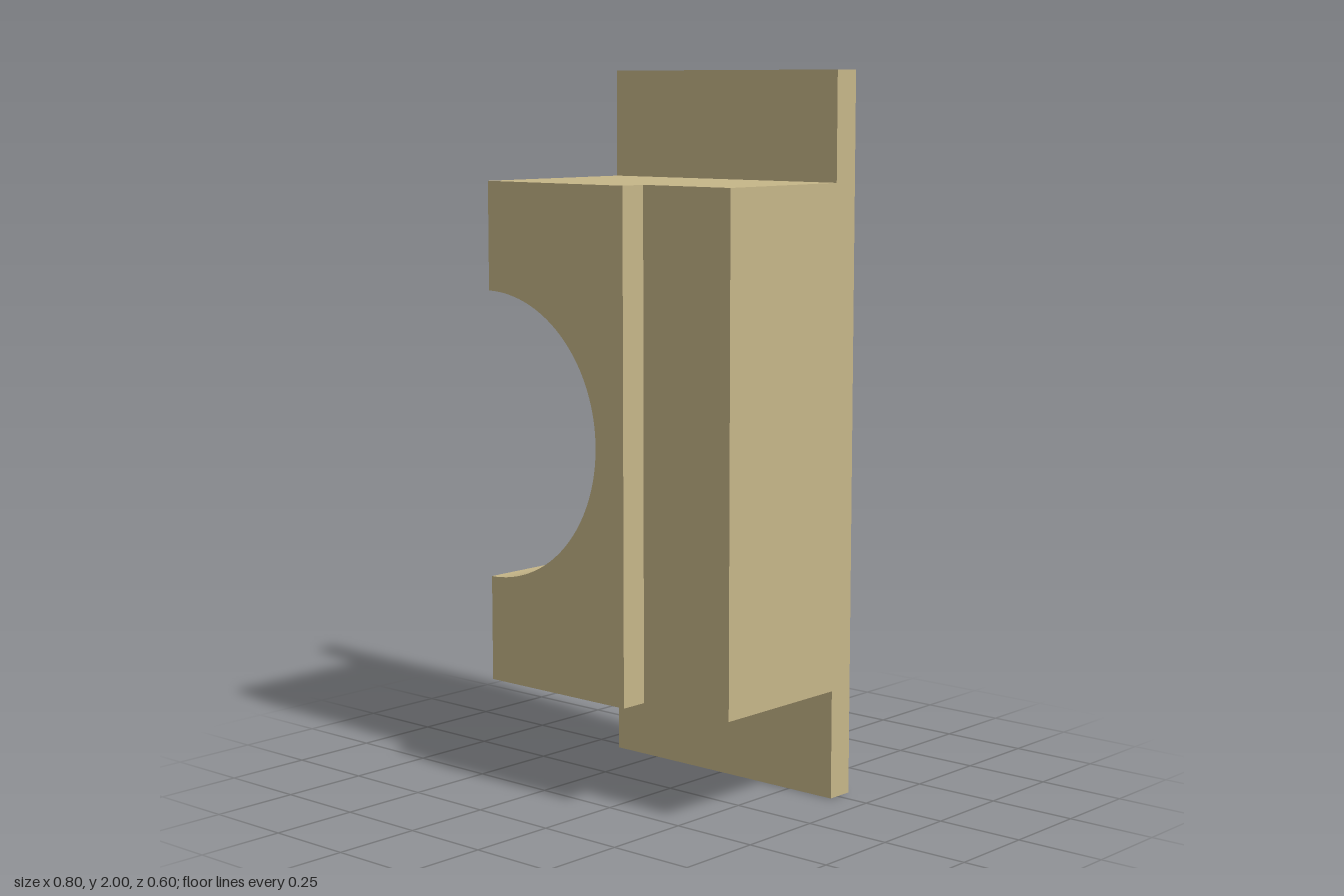
import * as THREE from 'three';
import { toCreasedNormals } from 'three/addons/utils/BufferGeometryUtils.js';

const LEFT = -0.4;         // x of the notched edge
const NOTCH_RADIUS = 0.4;  // half-round notch centred on that edge
const NOTCH_Y = 1;

// Upright slab from z0 to z1 with the half-round notch cut into its -x edge
function notchedSlab(name, material, right, y0, y1, z0, z1) {
  const outline = new THREE.Shape();
  outline.moveTo(LEFT, y0);
  outline.lineTo(right, y0);
  outline.lineTo(right, y1);
  outline.lineTo(LEFT, y1);
  outline.absarc(LEFT, NOTCH_Y, NOTCH_RADIUS, Math.PI / 2, -Math.PI / 2, true);
  outline.closePath();

  const extruded = new THREE.ExtrudeGeometry(outline, {
    depth: z1 - z0, bevelEnabled: false, curveSegments: 32,
  });
  extruded.translate(0, 0, z0);
  const mesh = new THREE.Mesh(toCreasedNormals(extruded, Math.PI / 6), material);
  mesh.name = name;
  return mesh;
}

export function createModel() {
  const tan = new THREE.MeshStandardMaterial({ name: 'tan', color: 0xc8b88a });
  const model = new THREE.Group();
  model.name = 'notchedBracket';
  model.add(
    // Tall flange at the back
    notchedSlab('backFlange', tan, 0.4, 0, 2, -0.3, -0.22),
    // Thick central block
    notchedSlab('mainBlock', tan, 0.4, 0.305, 1.7, -0.22, 0.22),
    // Narrower raised step on the front
    notchedSlab('frontStep', tan, 0.1, 0.305, 1.7, 0.22, 0.3),
  );
  return model;
}
